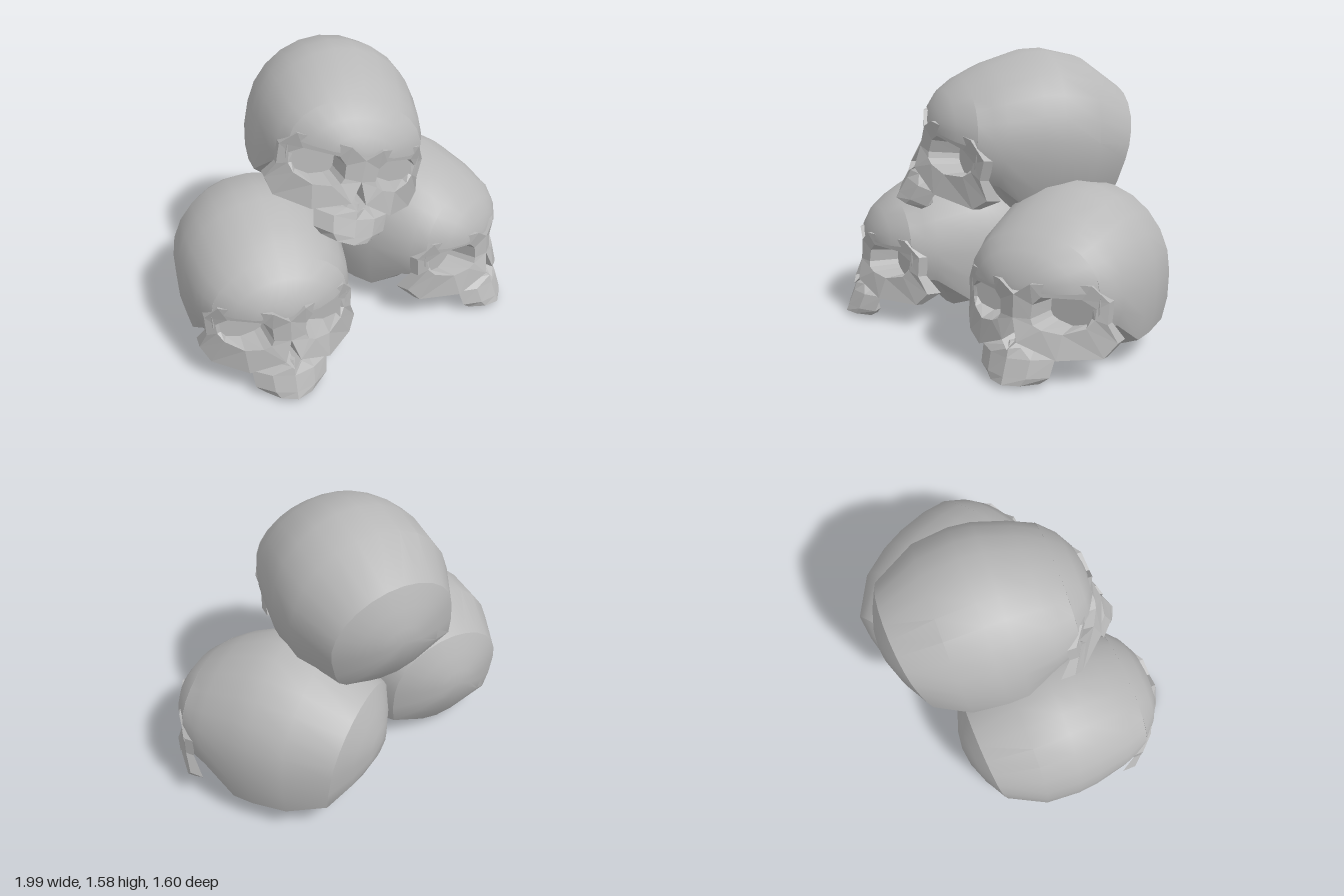
import * as THREE from 'three';
import { toCreasedNormals } from 'three/addons/utils/BufferGeometryUtils.js';

const bone = new THREE.MeshStandardMaterial({ color: 0xb8b8b8, side: THREE.DoubleSide });
bone.name = 'bone grey';

// Skin a list of closed rings of Vector3; crease = 0 gives flat facets.
function loft(rings, crease = 0) {
  const pos = [];
  const tri = (a, b, c) => {
    if (a.distanceTo(b) < 1e-5 || b.distanceTo(c) < 1e-5 || a.distanceTo(c) < 1e-5) return;
    for (const p of [a, b, c]) pos.push(p.x, p.y, p.z);
  };
  for (let i = 0; i < rings.length - 1; i++) {
    const r = rings[i], s = rings[i + 1], n = r.length;
    for (let j = 0; j < n; j++) {
      const k = (j + 1) % n;
      tri(r[j], s[j], r[k]);
      tri(r[k], s[j], s[k]);
    }
  }
  const geo = new THREE.BufferGeometry();
  geo.setAttribute('position', new THREE.Float32BufferAttribute(pos, 3));
  geo.computeVertexNormals();
  return crease ? toCreasedNormals(geo, crease) : geo;
}

// Braincase: rounded above, chamfered base, shallow domed facet at the back
function craniumGeometry() {
  const unit = [];
  for (let i = 0; i <= 12; i++) unit.push([Math.cos(i * Math.PI / 12), Math.sin(i * Math.PI / 12)]);
  unit.push([-0.99, -0.36], [-0.93, -0.68], [-0.3, -0.95], [0, -1], [0.3, -0.95], [0.93, -0.68], [0.99, -0.36]);
  // z, half width, widest height, top, bottom, backward lean
  const sections = [
    [0.67, 0, 0.46, 0.46, 0.46, 0],
    [0.665, 0.06, 0.46, 0.49, 0.46, 0],
    [0.645, 0.17, 0.46, 0.56, 0.46, 0],
    [0.59, 0.27, 0.46, 0.64, 0.46, 0],
    [0.5, 0.365, 0.46, 0.71, 0.46, 0],
    [0.5, 0.37, 0.44, 0.71, 0.2, 0],
    [0.42, 0.405, 0.42, 0.765, 0.2, 0],
    [0.36, 0.427, 0.42, 0.8, 0.19, 0],
    [0.17, 0.46, 0.42, 0.885, 0, 0],
    [0.05, 0.47, 0.42, 0.9, 0.01, 0],
    [-0.15, 0.455, 0.42, 0.87, 0.03, -0.02],
    [-0.37, 0.345, 0.41, 0.72, 0.06, -0.15],
    [-0.44, 0.22, 0.42, 0.62, 0.2, -0.1],
    [-0.485, 0.1, 0.43, 0.52, 0.33, -0.05],
    [-0.5, 0, 0.44, 0.44, 0.44, 0],
  ];
  return loft(sections.map(([z, w, cy, top, bot, lean]) => unit.map(([u, v]) => {
    const y = cy + v * (v > 0 ? top - cy : cy - bot);
    return new THREE.Vector3(u * w, y, z + lean * (y - 0.4));
  })), 0.47);
}

// Depth of the curved face surface
const faceZ = (x, y) => 0.69 - 1.35 * x * x
  + Math.max(0, 0.35 - y) * 0.35 * Math.max(0, 1 - Math.abs(x) / 0.4);

// Brow, cheekbone and eye socket of one side, as nested loops
function orbitGeometry(side) {
  // x, y, thickness behind the edge
  const outer = [[0, 0.33, 0.14], [0, 0.445, 0.14], [0.085, 0.505, 0.14], [0.34, 0.5, 0.1], [0.405, 0.41, 0.06],
    [0.4, 0.3, 0.05], [0.437, 0.2, 0.08], [0.39, 0.13, 0.04], [0.22, 0.14, 0.05], [0.04, 0.22, 0.12]];
  const rim = [[0.085, 0.33], [0.09, 0.4], [0.13, 0.44], [0.3, 0.43], [0.355, 0.38],
    [0.35, 0.325], [0.32, 0.285], [0.23, 0.26], [0.14, 0.28], [0.1, 0.3]];
  const ring = (pts, dz, scale = 1) => pts.map(([x, y]) => {
    const px = 0.22 + (x - 0.22) * scale, py = 0.35 + (y - 0.35) * scale;
    return new THREE.Vector3(side * px, py, faceZ(x, y) + dz);
  });
  const back = ring(outer, 0);
  back.forEach((p, i) => { p.z -= outer[i][2]; });
  const floor = ring(rim, 0, 0.85);
  floor.forEach(p => { p.z = 0.505; });
  const centre = floor.map(() => new THREE.Vector3(side * 0.22, 0.35, 0.505));
  return loft([back, ring(outer, 0), ring(rim, -0.015), floor, centre]);
}

// Recessed nose opening
function noseGeometry() {
  const edge = [[0, 0.33], [-0.04, 0.22], [0, 0.18], [0.04, 0.22]]
    .map(([x, y]) => new THREE.Vector3(x, y, faceZ(x, y)));
  return loft([edge, edge.map(() => new THREE.Vector3(0, 0.25, 0.6))]);
}

// Upper jaw, flaring downward from the nose
function jawGeometry() {
  // y, half width, front z, back z
  const rows = [[0.215, 0.06, 0.715, 0.62], [0.185, 0.09, 0.735, 0.63], [0.14, 0.205, 0.75, 0.65],
    [0.055, 0.195, 0.785, 0.63], [0.02, 0.15, 0.8, 0.64]];
  const rings = rows.map(([y, w, f, b]) => [[0, f], [0.55 * w, f - 0.035], [w, f - 0.11], [0.75 * w, b],
    [-0.75 * w, b], [-w, f - 0.11], [-0.55 * w, f - 0.035]].map(([x, z]) => new THREE.Vector3(x, y, z)));
  const cap = (y, z) => rings[0].map(() => new THREE.Vector3(0, y, z));
  return loft([cap(0.215, 0.66), ...rings, cap(0.03, 0.71)]);
}

export function createModel() {
  const parts = [
    ['cranium', craniumGeometry()],
    ['leftEyeSocket', orbitGeometry(1)],
    ['rightEyeSocket', orbitGeometry(-1)],
    ['noseOpening', noseGeometry()],
    ['upperJaw', jawGeometry()],
  ];
  const deg = Math.PI / 180;
  // name, position, pitch / yaw / roll in degrees
  const skulls = [
    ['frontSkull', [0.53, 0, 0], [0, 0, 0]],
    ['rearSkull', [-0.385, 0, -0.295], [0, -35, 0]],
    ['topSkull', [0.075, 0.69, -0.23], [-4, -38, -14]],
  ];
  const model = new THREE.Group();
  model.name = 'skullPile';
  for (const [name, p, r] of skulls) {
    const skull = new THREE.Group();
    skull.name = name;
    for (const [part, geo] of parts) {
      const mesh = new THREE.Mesh(geo, bone);
      mesh.name = part;
      skull.add(mesh);
    }
    skull.position.set(...p);
    skull.rotation.set(r[0] * deg, r[1] * deg, r[2] * deg, 'YXZ');
    model.add(skull);
  }
  return model;
}
